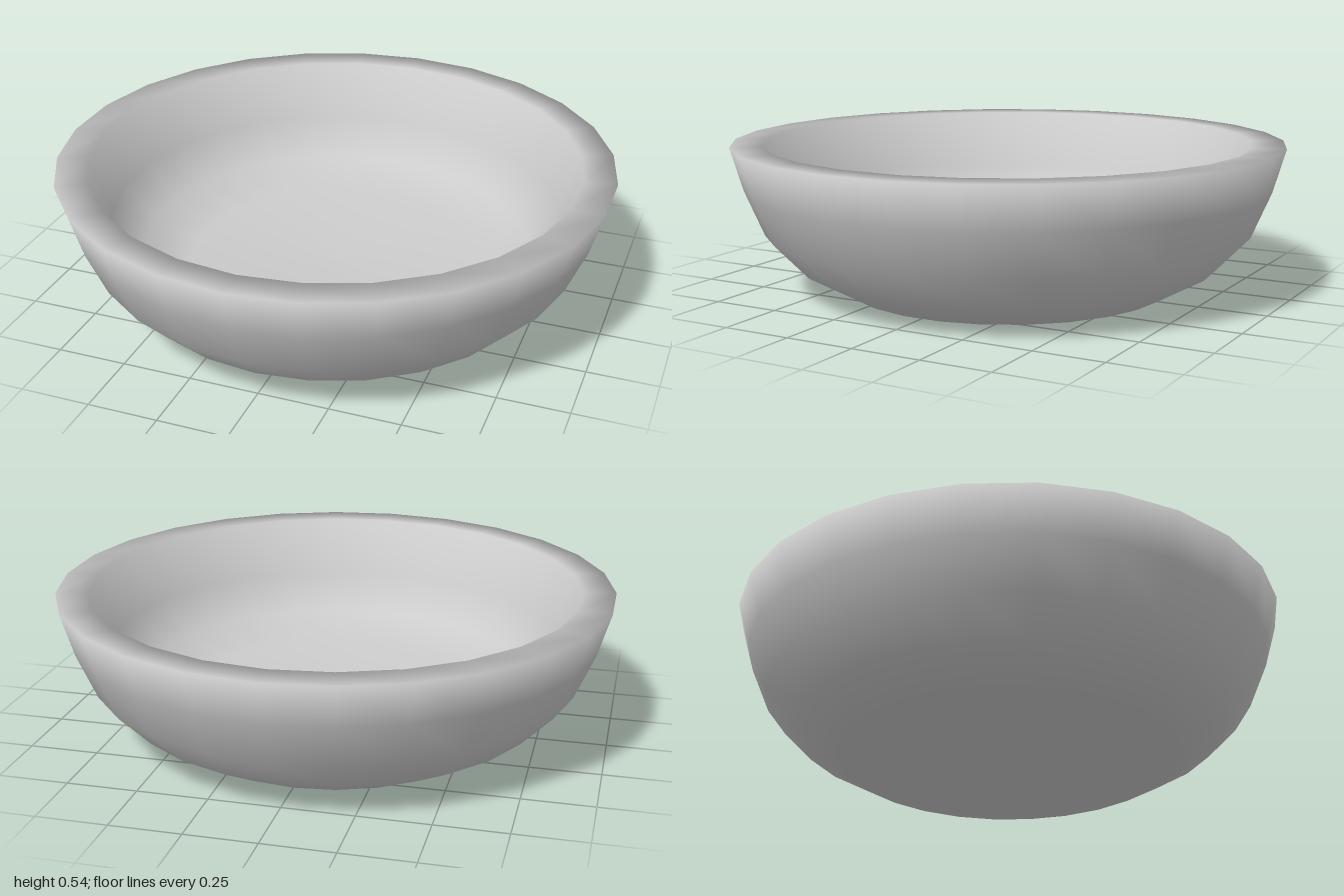
import * as THREE from 'three';

const SIDES = 26;

export function createModel() {
  const group = new THREE.Group();
  group.name = 'bowl';

  // Closed profile (radius, height): base, outer wall, rim, inner wall, floor
  const profile = [
    [0, 0], [0.6, 0],
    [0.77, 0.095], [0.885, 0.215], [0.955, 0.38], [1, 0.535],
    [0.885, 0.535],
    [0.82, 0.32], [0.71, 0.19], [0.54, 0.115], [0, 0.105],
  ].map(([r, y]) => new THREE.Vector2(r, y));

  const material = new THREE.MeshStandardMaterial({ color: 0xcccccc });
  const shell = new THREE.Mesh(new THREE.LatheGeometry(profile, SIDES), material);
  shell.name = 'bowlShell';
  group.add(shell);

  return group;
}
